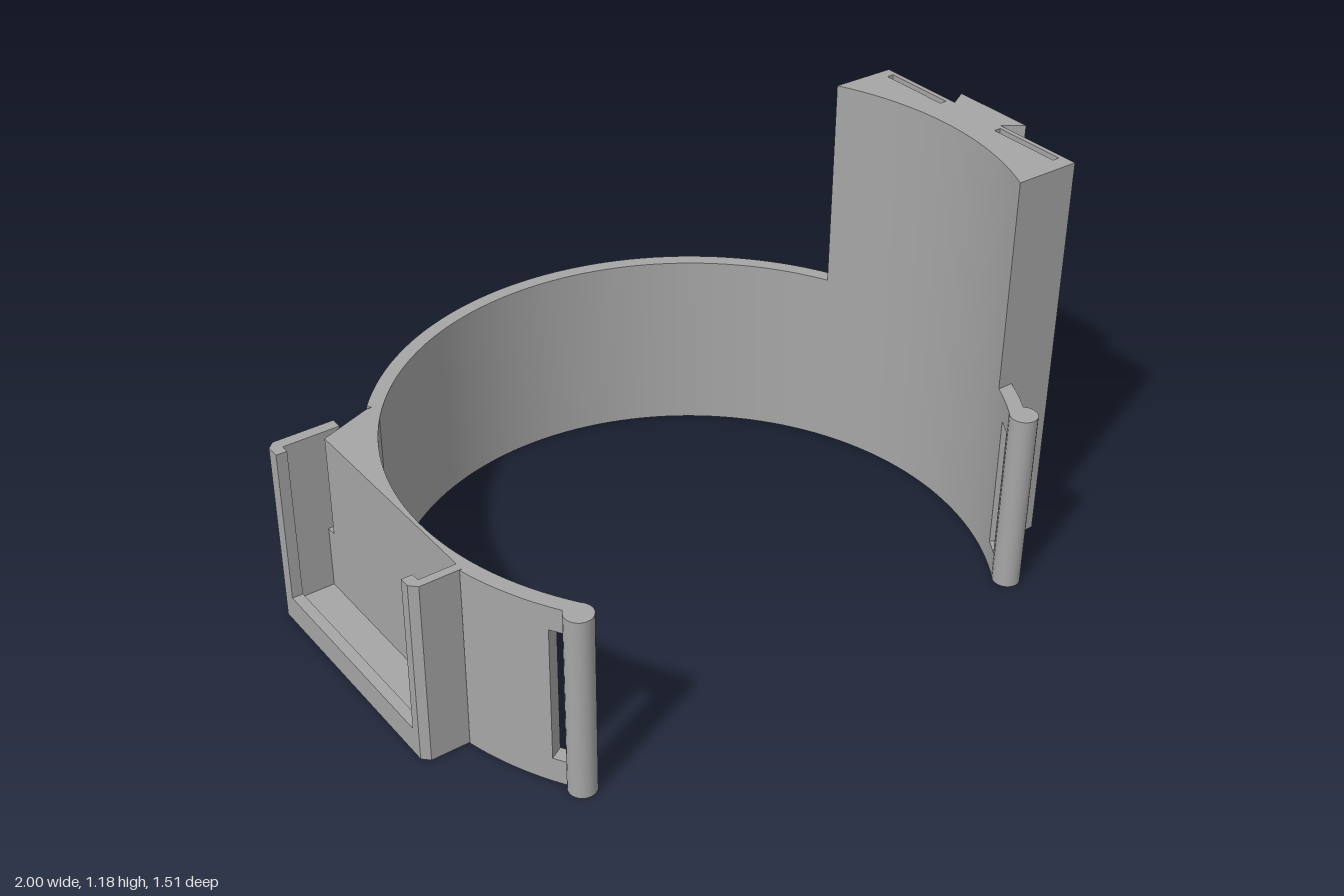
import * as THREE from 'three';
import { toCreasedNormals } from 'three/addons/utils/BufferGeometryUtils.js';

const CX = -0.008, CZ = 0.206;          // centre of the ring
const R0 = 0.842, R1 = 0.885, H = 0.55; // inner and outer radius, band height
const rad = THREE.MathUtils.degToRad;

// Plan points are [x, z]; angles run from +x towards the back (-z).
function arc(r, a0, a1) {
  const n = Math.max(1, Math.ceil(Math.abs(a1 - a0) / 2.5));
  return Array.from({ length: n + 1 }, (_, i) => {
    const a = rad(a0 + (a1 - a0) * i / n);
    return [CX + r * Math.cos(a), CZ - r * Math.sin(a)];
  });
}

// Angle at which the inner circle reaches depth z, on the right or left side
const innerAngle = (z, left) => {
  const a = THREE.MathUtils.radToDeg(Math.asin((CZ - z) / R0));
  return left ? 180 - a : a;
};

export function createModel() {
  const model = new THREE.Group();
  const grey = new THREE.MeshStandardMaterial({ color: 0xa6a6a6, side: THREE.DoubleSide });
  grey.name = 'plain grey';

  function add(name, geometry) {
    const mesh = new THREE.Mesh(geometry, grey);
    mesh.name = name;
    model.add(mesh);
    return mesh;
  }

  // Upright prism from a plan outline
  function prism(name, points, y0, y1, holes = []) {
    const vec = (list) => list.map(([x, z]) => new THREE.Vector2(x, -z));
    const shape = new THREE.Shape(vec(points));
    holes.forEach((h) => shape.holes.push(new THREE.Path(vec(h))));
    const geo = new THREE.ExtrudeGeometry(shape, { depth: y1 - y0, bevelEnabled: false });
    geo.rotateX(-Math.PI / 2).translate(0, y0, 0);
    return add(name, toCreasedNormals(geo, 0.5));
  }
  const rect = (x0, x1, z0, z1) => [[x0, z0], [x1, z0], [x1, z1], [x0, z1]];
  const sector = (name, a0, a1, y0, y1) =>
    prism(name, [...arc(R0, a0, a1), ...arc(R1, a1, a0)], y0, y1);

  // Main band round the back
  sector('band', 24, 141, 0, H);

  // Slotted arms with a round bead at each tip
  for (const side of ['left', 'right']) {
    const at = (a) => (side === 'left' ? -a : 180 + a);
    const start = side === 'left' ? 25 : 13.5;
    sector(side + 'ArmRoot', at(start), at(30.2), 0, H);
    sector(side + 'ArmTip', at(33.9), at(35.5), 0, H);
    sector(side + 'ArmBottom', at(30.2), at(33.9), 0, 0.075);
    sector(side + 'ArmTop', at(30.2), at(33.9), 0.48, H);
    const [[x, z]] = arc(0.88, at(35.2), at(35.2));
    const bead = add(side + 'ArmBead', new THREE.CylinderGeometry(0.039, 0.039, H, 24));
    bead.position.set(x, H / 2, z);
  }

  // Ledge with a raised lip and sloping underside
  const a0 = 25, a1 = 144.4;
  const profile = [[0.875, 0.15], [0.967, 0.235], [0.967, 0.295], [0.95, 0.295], [0.95, 0.24], [0.875, 0.24]]
    .map(([r, y]) => new THREE.Vector2(r, y));
  const ledge = new THREE.LatheGeometry([...profile, profile[0]], 48, rad(a0 + 90), rad(a1 - a0));
  add('ledge', toCreasedNormals(ledge, 0.4)).position.set(CX, 0, CZ);
  for (const a of [a0, a1]) {
    const cap = new THREE.ShapeGeometry(new THREE.Shape(profile));
    add('ledgeEnd', cap.rotateY(rad(a))).position.set(CX, 0, CZ);
  }

  // Tall mounting block with dovetail rail and two vertical slots
  prism('mountBlock', [
    ...arc(R0, innerAngle(0.58, false), innerAngle(-0.155, false)),
    [0.944, -0.155], [0.944, 0.12], [1, 0.087], [1, 0.342], [0.944, 0.302], [0.944, 0.58],
  ], 0, 1.178, [rect(0.909, 0.93, -0.12, 0.1), rect(0.909, 0.93, 0.315, 0.535)]);
  for (const z of [0, 0.437]) {
    const stud = add('stud', new THREE.SphereGeometry(0.03, 20, 14));
    stud.scale.x = 0.55;
    stud.position.set(0.944, 0.093, z);
  }

  // Holder on the other side: inner wall pierced by three windows
  const wallX = -0.861;
  const wall = (z0, z1, y0, y1) => prism('holderWall',
    [...arc(R0, innerAngle(z0, true), innerAngle(z1, true)), [wallX, z1], [wallX, z0]], y0, y1);
  const sill = 0.13, lintel = 0.31;
  wall(-0.28, 0.385, 0, sill);
  wall(-0.28, 0.385, lintel, H);
  for (const [z0, z1] of [[-0.28, 0.11], [0.165, 0.19], [0.245, 0.27], [0.325, 0.385]]) {
    wall(z0, z1, sill, lintel);
  }

  // Gusset between band and holder, wider below the ledge
  const gussetArc = arc(R0, 139.5, innerAngle(-0.28, true));
  prism('gusset', [...gussetArc, [wallX, -0.28], [-0.703, -0.34]], 0.24, H);
  prism('gussetBase', [...gussetArc, [wallX, -0.28], [wallX, -0.345], [-0.7, -0.345]], 0, 0.24);

  // End walls with inward lips
  prism('holderBackEnd', [[-0.8, -0.345], [-0.98, -0.345], [-1, -0.325], [-1, -0.285],
    [-0.968, -0.285], [-0.968, -0.31], [-0.8, -0.31]], 0, H);
  prism('holderFrontEnd', [...arc(R0, innerAngle(0.385, true), innerAngle(0.41, true)),
    [-0.98, 0.41], [-1, 0.39], [-1, 0.36], [-0.968, 0.36], [-0.968, 0.385]], 0, H);

  // Floor and its front rim
  prism('holderFloor', rect(-0.99, wallX, -0.32, 0.39), 0, 0.05);
  prism('holderRim', rect(-1, -0.968, -0.3, 0.375), 0, 0.08);

  return model;
}
